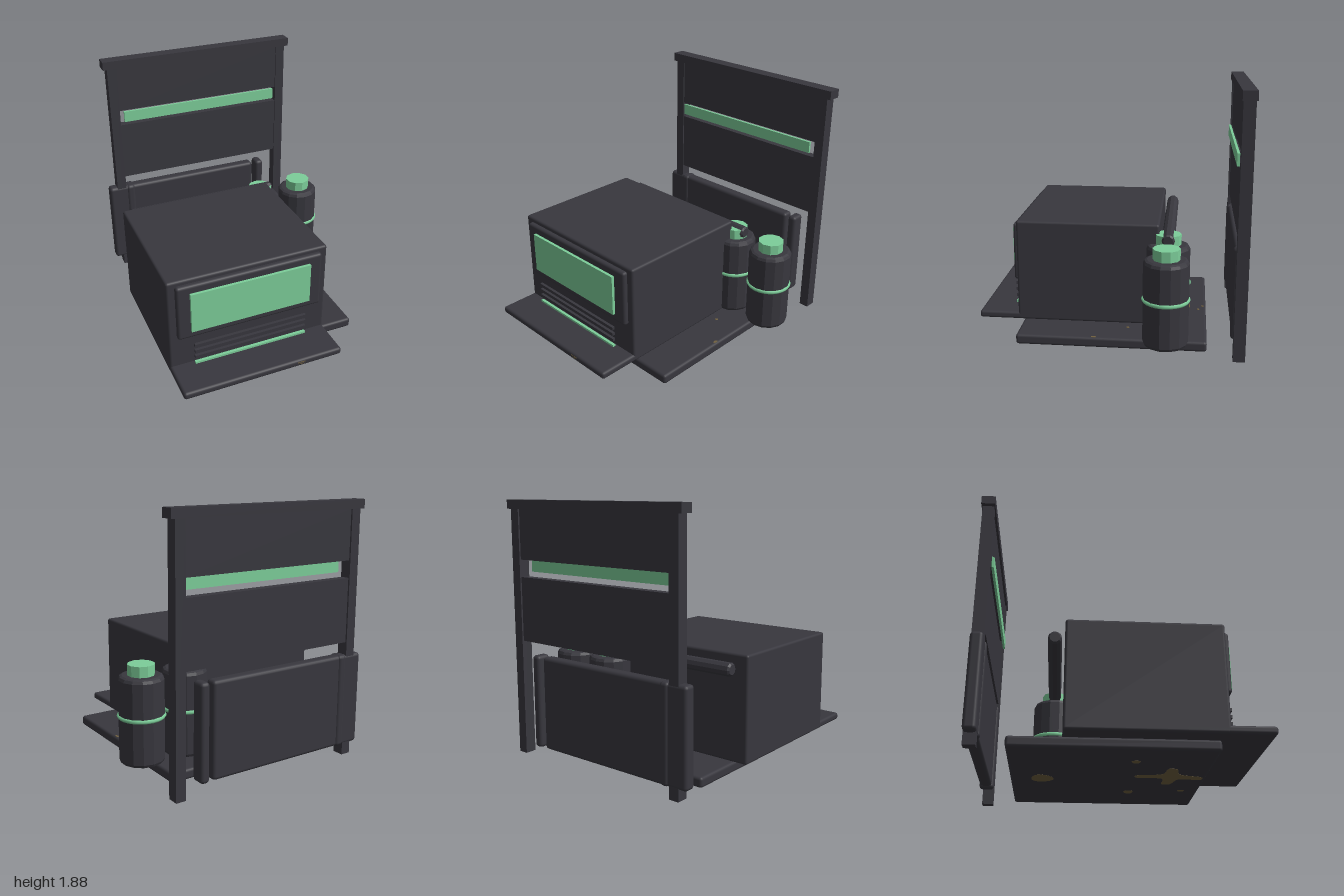
import * as THREE from 'three';
import { RoundedBoxGeometry } from 'three/addons/geometries/RoundedBoxGeometry.js';

export function createModel() {
  const model = new THREE.Group();
  model.name = 'workshopSet';

  const mat = (name, color, flat = false) => {
    const m = new THREE.MeshStandardMaterial({ color, flatShading: flat });
    m.name = name;
    return m;
  };
  const dark = mat('charcoal', 0x38373e);
  const green = mat('mintGreen', 0x7ccd99);
  const ochre = mat('ochreStain', 0x706040);

  const add = (name, geo, material, parent = model) => {
    const mesh = new THREE.Mesh(geo, material);
    mesh.name = name;
    parent.add(mesh);
    return mesh;
  };
  // Box given by its limits on each axis, with an optional edge radius
  const block = (name, [x0, x1], [y0, y1], [z0, z1], material = dark, r = 0, parent = model) => {
    const size = [x1 - x0, y1 - y0, z1 - z0];
    const geo = r ? new RoundedBoxGeometry(...size, 2, r) : new THREE.BoxGeometry(...size);
    const mesh = add(name, geo, material, parent);
    mesh.position.set((x0 + x1) / 2, (y0 + y1) / 2, (z0 + z1) / 2);
    return mesh;
  };

  // Base slab
  block('baseSlab', [-0.75, 0.635], [0, 0.075], [-0.725, 0.66], dark, 0.02);

  // Cabinet with front ledge, framed screen and vent bars
  block('cabinet', [-0.865, 0.36], [0.08, 0.855], [-0.365, 0.7], dark, 0.018);
  block('frontLedge', [-0.865, 0.36], [0.08, 0.135], [0.4, 1], dark, 0.02);
  block('screenFrame', [-0.805, 0.305], [0.38, 0.82], [0.68, 0.735], dark, 0.02);
  block('screen', [-0.71, 0.205], [0.445, 0.76], [0.73, 0.757], green);
  [0.308, 0.258, 0.208, 0.155].forEach((y, i) => {
    const h = i === 3 ? 0.008 : 0.011;
    block(i === 3 ? 'lightStrip' : 'ventBar', [-0.69, 0.185], [y - h, y + h], [0.728, 0.75], i === 3 ? green : dark);
  });

  // Pipe behind the cabinet
  const pipeShape = [[0, -0.6125], [0.036, -0.6125], [0.048, -0.6], [0.048, 0.6], [0.036, 0.6125], [0, 0.6125]]
    .map(([r, y]) => new THREE.Vector2(r, y));
  const flatDarkGeo = (pts, sides) => {
    const g = new THREE.LatheGeometry(pts, sides).toNonIndexed();
    g.computeVertexNormals();
    return g;
  };
  const pipe = add('pipe', flatDarkGeo(pipeShape, 10), dark);
  pipe.rotation.z = Math.PI / 2;
  pipe.position.set(-0.172, 0.757, -0.432);

  // Two faceted bottles with collar ring and cap
  const bottleShape = [[0, 0.08], [0.135, 0.08], [0.152, 0.088], [0.162, 0.108], [0.162, 0.682], [0.152, 0.702], [0.135, 0.71], [0, 0.71]]
    .map(([r, y]) => new THREE.Vector2(r, y));
  for (const x of [0.692, 0.34]) {
    const bottle = new THREE.Group();
    bottle.name = 'bottle';
    bottle.position.set(x, 0, -0.43);
    model.add(bottle);
    add('bottleBody', flatDarkGeo(bottleShape, 14), dark, bottle);
    const cap = new THREE.CylinderGeometry(0.097, 0.097, 0.08, 10).toNonIndexed();
    cap.computeVertexNormals();
    add('bottleCap', cap, green, bottle).position.y = 0.747;
    const ring = add('bottleRing', new THREE.TorusGeometry(0.157, 0.015, 6, 28), green, bottle);
    ring.rotation.x = Math.PI / 2;
    ring.position.y = 0.42;
  }

  // Tall rear frame: posts, top beam, two boards and a green strip between them
  const frame = new THREE.Group();
  frame.name = 'rearFrame';
  model.add(frame);
  for (const s of [-1, 1]) {
    const xs = [s * 0.69, s * 0.765].sort((a, b) => a - b);
    block('post', xs, [0, 1.815], [-0.987, -0.903], dark, 0, frame);
  }
  block('topBeam', [-0.797, 0.797], [1.81, 1.875], [-0.995, -0.895], dark, 0, frame);
  block('upperBoard', [-0.69, 0.69], [1.45, 1.81], [-0.975, -0.912], dark, 0, frame);
  block('lowerBoard', [-0.69, 0.69], [0.857, 1.325], [-0.975, -0.912], dark, 0, frame);
  block('greenStrip', [-0.66, 0.657], [1.36, 1.448], [-0.903, -0.885], green, 0, frame);

  // Rounded panel and two uprights standing in the frame
  block('standingPanel', [-0.83, 0.477], [0.08, 0.765], [-0.99, -0.9], dark, 0.025);
  for (const x of [-0.65, 0.543]) {
    block('upright', [x - 0.035, x + 0.035], [0.08, 0.768], [-1, -0.89], dark, 0.025);
  }

  // Stains: thin irregular blobs [x, z, radiusX, radiusZ] on both faces of the slab
  const stain = (x, z, rx, rz, y, thick = 0.003) => {
    const shape = new THREE.Shape();
    for (let i = 0; i < 16; i++) {
      const a = (i / 16) * Math.PI * 2;
      const k = 1 + 0.06 * Math.sin(a * 3 + x * 9);
      shape[i ? 'lineTo' : 'moveTo'](rx * k * Math.cos(a), rz * k * Math.sin(a));
    }
    const m = add('stain', new THREE.ExtrudeGeometry(shape, { depth: thick, bevelEnabled: false }), ochre);
    m.rotation.x = -Math.PI / 2;
    m.position.set(x, y, z);
  };
  const topY = 0.0735, bottomY = 0;
  stain(-0.06, -0.52, 0.095, 0.085, topY);
  stain(-0.06, -0.5, 0.085, 0.08, bottomY - 0.001);
  [[-0.3, -0.51, 0.022, 0.018], [0.18, -0.515, 0.03, 0.025], [-0.055, -0.7, 0.014, 0.01],
    [0.015, -0.665, 0.013, 0.01], [0.42, -0.143, 0.013, 0.011], [0.613, 0.09, 0.01, 0.02]]
    .forEach(([x, z, rx, rz]) => stain(x, z, rx, rz, topY));
  [[0.26, 0.14, 0.045, 0.035], [-0.48, 0.13, 0.032, 0.03], [0.2, 0.53, 0.025, 0.025]]
    .forEach(([x, z, rx, rz]) => stain(x, z, rx, rz, bottomY - 0.001));

  // Four-armed splash under the slab, smooth between tips and hollows
  const splashPts = [[0.19, -0.045], [0.05, -0.06], [0.035, -0.25], [-0.02, -0.25], [-0.06, -0.07], [-0.19, -0.04],
    [-0.18, 0.02], [-0.06, 0.05], [0.0, 0.22], [0.06, 0.22], [0.06, 0.06], [0.19, 0.01]]
    .map(([x, z]) => new THREE.Vector3(x, -z, 0));
  const outline = new THREE.CatmullRomCurve3(splashPts, true).getPoints(48).slice(0, -1);
  const splashShape = new THREE.Shape(outline.map(p => new THREE.Vector2(p.x, p.y)));
  const splash = add('splash', new THREE.ExtrudeGeometry(splashShape, { depth: 0.003, bevelEnabled: false }), ochre);
  splash.rotation.x = -Math.PI / 2;
  splash.position.set(-0.155, bottomY - 0.001, 0.41);

  // Small marks on the front edge of the ledge
  block('ledgeMark', [0, 0.06], [0.113, 0.119], [0.996, 1.001], ochre);
  block('ledgeMark', [0.015, 0.05], [0.1, 0.106], [0.996, 1.001], ochre);

  return model;
}
